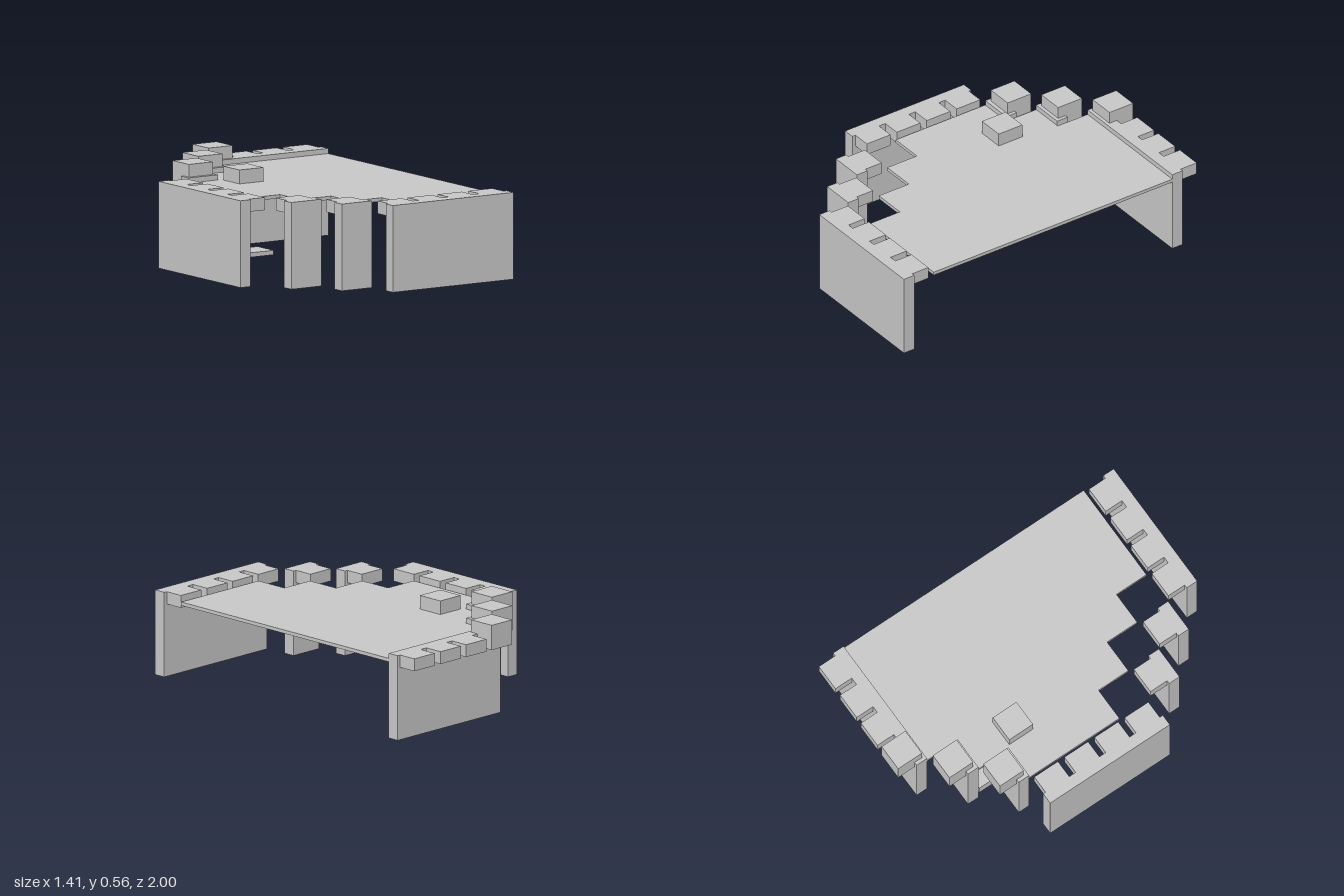
import * as THREE from 'three';

export function createModel() {
  const model = new THREE.Group();
  model.name = 'platformWithWalls';
  const stone = new THREE.MeshStandardMaterial({ color: 0xc8c8c8 });
  stone.name = 'light grey';

  // Box given by its lower and upper limits on each axis
  const box = (name, x0, x1, y0, y1, z0, z1) => {
    const mesh = new THREE.Mesh(new THREE.BoxGeometry(x1 - x0, y1 - y0, z1 - z0), stone);
    mesh.name = name;
    mesh.position.set((x0 + x1) / 2, (y0 + y1) / 2, (z0 + z1) / 2);
    model.add(mesh);
  };

  const WALL = 0.486, LEDGE = 0.415, RAISED = 0.557, DECK = 0.457, HALF = 0.08;
  const straight = [0, 0.2, 0.4, 0.605];

  // Front wall and the two stepped panels, with teeth pointing inward
  box('frontWall', -0.1, 0.705, 0, WALL, 0.93, 1);
  for (const x of straight) box('frontTooth', x - HALF, x + HALF, LEDGE, WALL, 0.82, 0.93);
  for (const [x, z] of [[-0.205, 0.8], [-0.405, 0.598]]) {
    box('frontStepPanel', x - 0.1, x + 0.1, 0, WALL, z - 0.07, z);
    box('frontStepTooth', x - HALF, x + HALF, LEDGE, WALL, z - 0.182, z - 0.07);
  }

  // Side wall with inward teeth
  box('sideWall', -0.705, -0.637, 0, WALL, -0.413, 0.393);
  for (let i = 0; i < 4; i++) {
    const z = -0.317 + i * 0.203;
    box('sideTooth', -0.637, -0.528, LEDGE, WALL, z - HALF, z + HALF);
  }

  // Back wall and stepped panels, with teeth pointing outward
  box('backWall', -0.1, 0.705, 0, WALL, -0.89, -0.82);
  for (const x of straight.slice(1)) box('backTooth', x - HALF, x + HALF, LEDGE, WALL, -1, -0.89);
  for (const [x, z] of [[-0.205, -0.617], [-0.405, -0.415]])
    box('backStepPanel', x - 0.1, x + 0.1, 0, WALL, z - 0.07, z);

  // Raised blocks along the back steps
  for (const [x, z] of [[0, -0.92], [-0.205, -0.718], [-0.405, -0.518]])
    box('raisedBlock', x - HALF, x + HALF, LEDGE, RAISED, z - HALF, z + HALF);

  // Deck with a stepped outline, drawn in x and z
  const outline = [
    [0.705, 0.798], [0.1, 0.798], [0.1, 0.596], [-0.1, 0.596], [-0.1, 0.393], [-0.305, 0.393],
    [-0.305, 0.192], [-0.506, 0.192], [-0.506, -0.415], [-0.305, -0.415],
    [-0.305, -0.617], [-0.1, -0.617], [-0.1, -0.82], [0.705, -0.82],
  ];
  const shape = new THREE.Shape(outline.map(([x, z]) => new THREE.Vector2(x, -z)));
  const deckGeometry = new THREE.ExtrudeGeometry(shape, { depth: 0.02, bevelEnabled: false });
  deckGeometry.rotateX(-Math.PI / 2).translate(0, DECK - 0.02, 0);
  const deck = new THREE.Mesh(deckGeometry, stone);
  deck.name = 'deck';
  model.add(deck);

  // Block standing on the deck
  box('deckBlock', -0.285, -0.125, DECK, 0.535, -0.395, -0.235);

  // Low blocks on the ground under the deck
  box('lowGroundBlock', -HALF, HALF, 0, 0.025, -0.597, -0.437);
  box('tallGroundBlock', -0.285, -0.125, 0, 0.071, -0.597, -0.437);

  return model;
}
